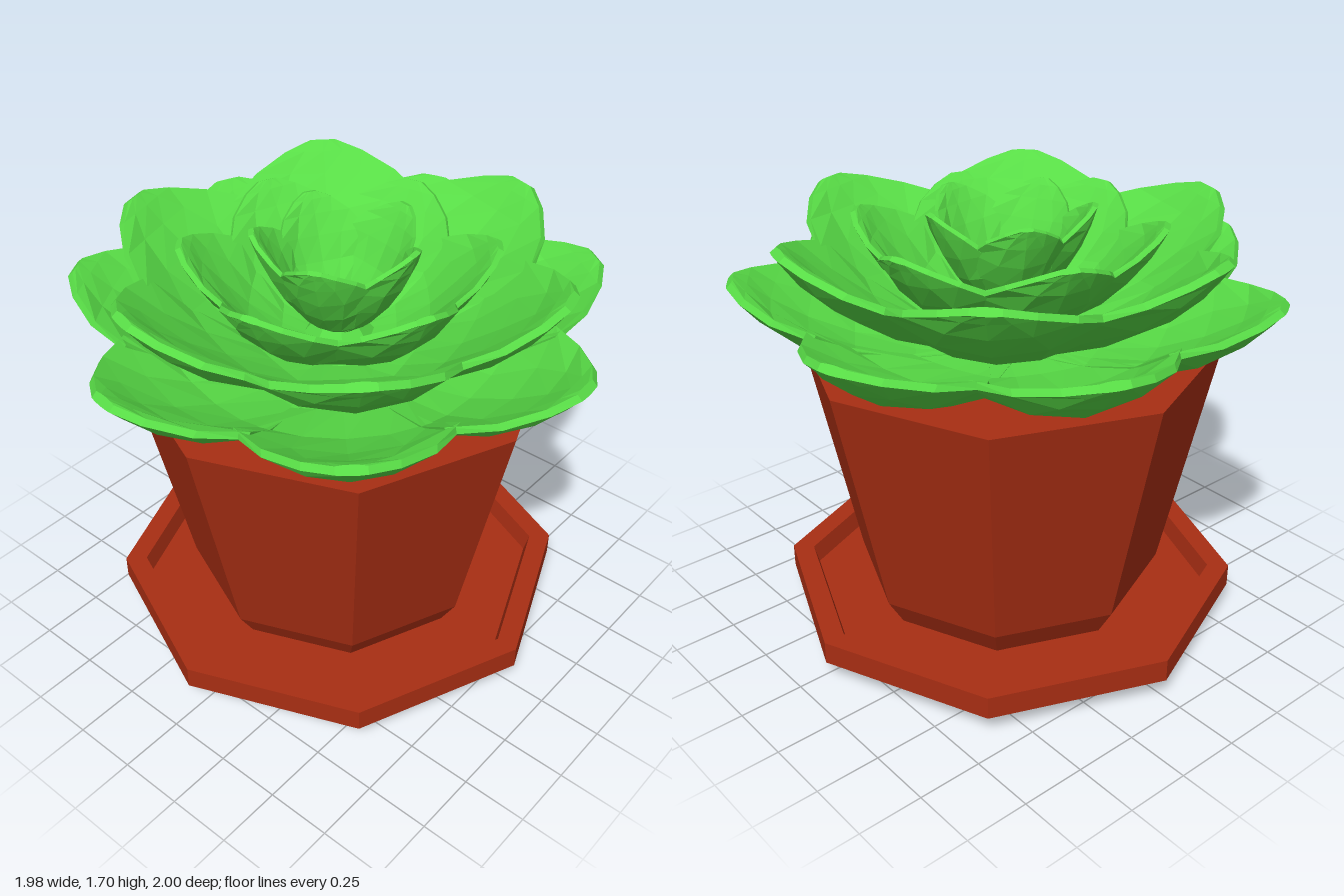
import * as THREE from 'three';

const clay = new THREE.MeshStandardMaterial({ color: 0xa82e13, flatShading: true });
const green = new THREE.MeshStandardMaterial({ color: 0x58dc46, flatShading: true });

// Eight-sided turned part from a closed [radius, height] profile
function octagon(name, profile) {
  const points = profile.map(([r, y]) => new THREE.Vector2(r, y));
  const mesh = new THREE.Mesh(new THREE.LatheGeometry(points, 8), clay);
  mesh.name = name;
  return mesh;
}

// Leaf stations: [position along the keel, relative width]
const STATIONS = [[0, 0.3], [0.25, 0.5], [0.48, 0.8], [0.68, 1], [0.85, 0.75], [0.95, 0.42], [1, 0.14]];
const ACROSS = [-1, -0.5, 0, 0.5, 1];

// Cupped leaf along +x: the keel runs through [radius, height] points
function leafGeometry({ keel, width, cup, thick }) {
  const curve = new THREE.CatmullRomCurve3(keel.map(([r, y]) => new THREE.Vector3(r, y, 0)));
  const positions = [];
  const index = [];
  const n = ACROSS.length * 2;
  for (const [t, w] of STATIONS) {
    const p = curve.getPointAt(t);
    const d = curve.getTangentAt(t);
    const add = (u, upper) => {
      const body = upper ? thick * (0.35 + 0.65 * (1 - u * u) * w) : 0;
      const lift = cup * u * u * w * w + body;
      positions.push(p.x - d.y * lift, p.y + d.x * lift, u * w * width / 2);
    };
    ACROSS.forEach((u) => add(u, true));
    [...ACROSS].reverse().forEach((u) => add(u, false));
  }
  const quad = (a, b, c, d) => index.push(a, b, c, a, c, d);
  const last = STATIONS.length - 1;
  for (let i = 0; i < last; i++) {
    for (let j = 0; j < n; j++) {
      const k = (j + 1) % n;
      quad(i * n + j, i * n + k, (i + 1) * n + k, (i + 1) * n + j);
    }
  }
  // Close the base and the blunt tip
  for (let j = 0; j < ACROSS.length - 1; j++) {
    const e = last * n;
    quad(e + j, e + j + 1, e + n - 2 - j, e + n - 1 - j);
    quad(n - 1 - j, n - 2 - j, j + 1, j);
  }
  const geometry = new THREE.BufferGeometry();
  geometry.setAttribute('position', new THREE.Float32BufferAttribute(positions, 3));
  geometry.setIndex(index);
  geometry.computeVertexNormals();
  return geometry;
}

// Leaf rings from the outside in; start is the first leaf's angle from +x towards +z
const RINGS = [
  { name: 'outerLeaves', count: 7, start: -4, width: 0.74, cup: 0.15, thick: 0.08,
    keel: [[0.1, 1.12], [0.4, 1.12], [0.66, 1.16], [0.86, 1.26], [1.02, 1.42]] },
  { name: 'secondLeaves', count: 6, start: 45, width: 0.74, cup: 0.13, thick: 0.08,
    keel: [[0.08, 1.16], [0.35, 1.22], [0.58, 1.33], [0.75, 1.46], [0.87, 1.62]] },
  { name: 'thirdLeaves', count: 6, start: 20, width: 0.5, cup: 0.1, thick: 0.06,
    keel: [[0.06, 1.22], [0.25, 1.28], [0.4, 1.38], [0.51, 1.5], [0.58, 1.63]] },
  { name: 'innerLeaves', count: 5, start: 65, width: 0.34, cup: 0.09, thick: 0.05,
    keel: [[0.03, 1.28], [0.14, 1.36], [0.22, 1.46], [0.28, 1.57], [0.32, 1.69]] },
];

export function createModel() {
  const model = new THREE.Group();
  model.name = 'pottedSucculent';
  model.position.set(-0.04, 0, -0.01);

  // Saucer with a raised rim
  model.add(octagon('saucer', [
    [0, 0], [0.66, 0], [0.895, 0.09], [0.895, 0.18], [0.81, 0.18], [0.79, 0.11], [0, 0.11],
  ]));

  // Tapered pot with a chamfered foot and a filled inside
  model.add(octagon('pot', [
    [0, 0.1], [0.53, 0.1], [0.6, 0.22], [0.8, 1.16], [0.72, 1.16], [0.7, 1.08], [0, 1.08],
  ]));

  // Stem that carries the rosette
  const stem = new THREE.Mesh(new THREE.CylinderGeometry(0.08, 0.3, 0.28, 8), green);
  stem.name = 'stem';
  stem.position.y = 1.2;
  model.add(stem);

  // Rosette
  for (const ring of RINGS) {
    const group = new THREE.Group();
    group.name = ring.name;
    const geometry = leafGeometry(ring);
    for (let i = 0; i < ring.count; i++) {
      const leaf = new THREE.Mesh(geometry, green);
      leaf.name = 'leaf';
      leaf.rotation.y = -THREE.MathUtils.degToRad(ring.start + (i * 360) / ring.count);
      group.add(leaf);
    }
    model.add(group);
  }

  const root = new THREE.Group();
  root.add(model);
  return root;
}
